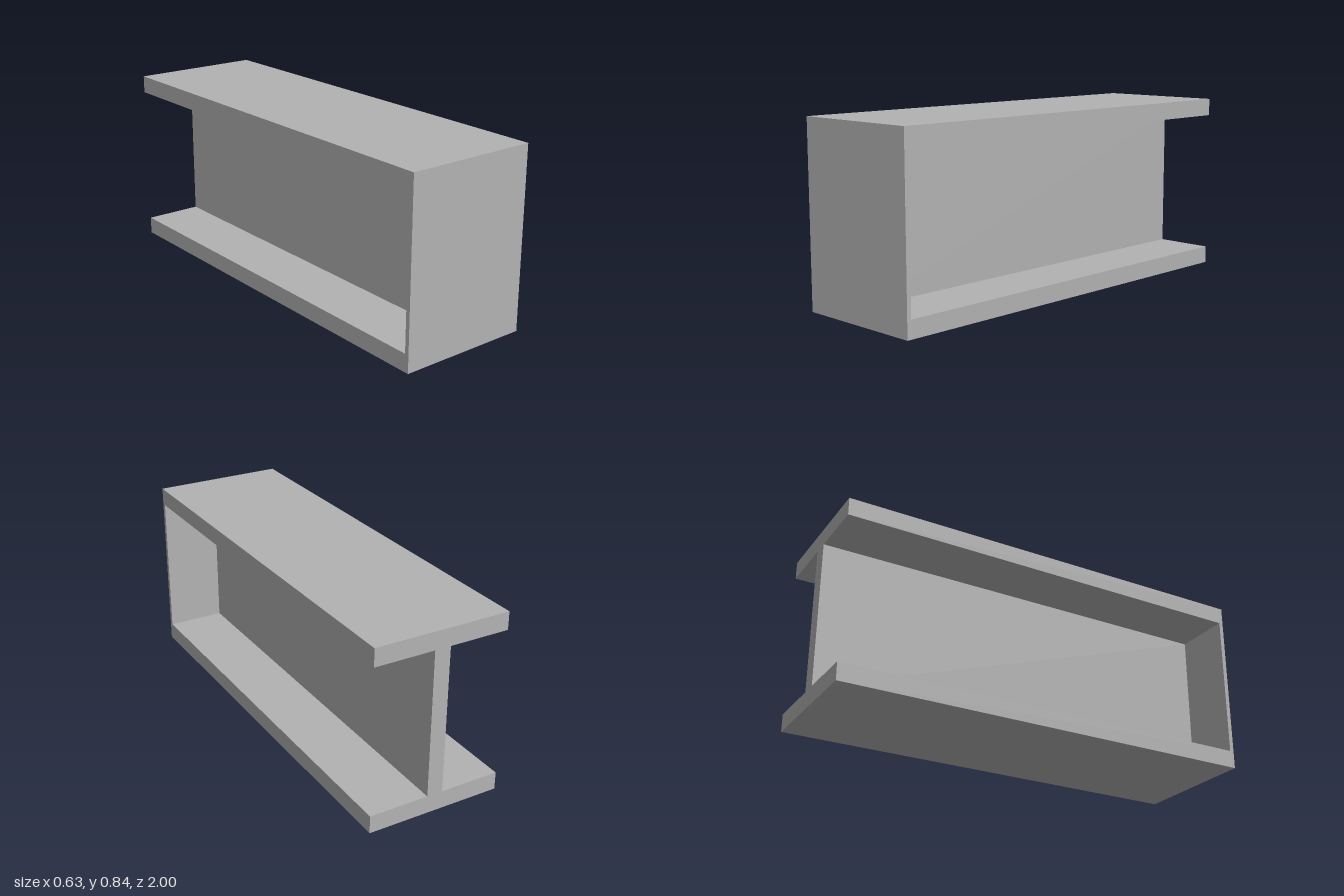
import * as THREE from 'three';

export function createModel() {
  const steel = new THREE.MeshStandardMaterial({ color: 0xb2b2b2 });
  steel.name = 'steel grey';
  const group = new THREE.Group();
  group.name = 'beam with end plate';

  const width = 0.63, height = 0.842, length = 2;
  const flange = 0.082, web = 0.074, plate = 0.02;
  const w = width / 2, t = web / 2;

  // I-shaped cross-section, mirrored from its right half
  const half = [[w, 0], [w, flange], [t, flange], [t, height - flange], [w, height - flange], [w, height]];
  const outline = [...half, ...half.map(([x, y]) => [-x, y]).reverse()];
  const section = new THREE.Shape(outline.map(([x, y]) => new THREE.Vector2(x, y)));
  const beamGeometry = new THREE.ExtrudeGeometry(section, { depth: length - plate, bevelEnabled: false });
  beamGeometry.translate(0, 0, -length / 2);
  const beam = new THREE.Mesh(beamGeometry, steel);
  beam.name = 'beam';

  // Thin plate closing the front end
  const endPlate = new THREE.Mesh(new THREE.BoxGeometry(width, height, plate), steel);
  endPlate.name = 'endPlate';
  endPlate.position.set(0, height / 2, length / 2 - plate / 2);

  group.add(beam, endPlate);
  return group;
}
